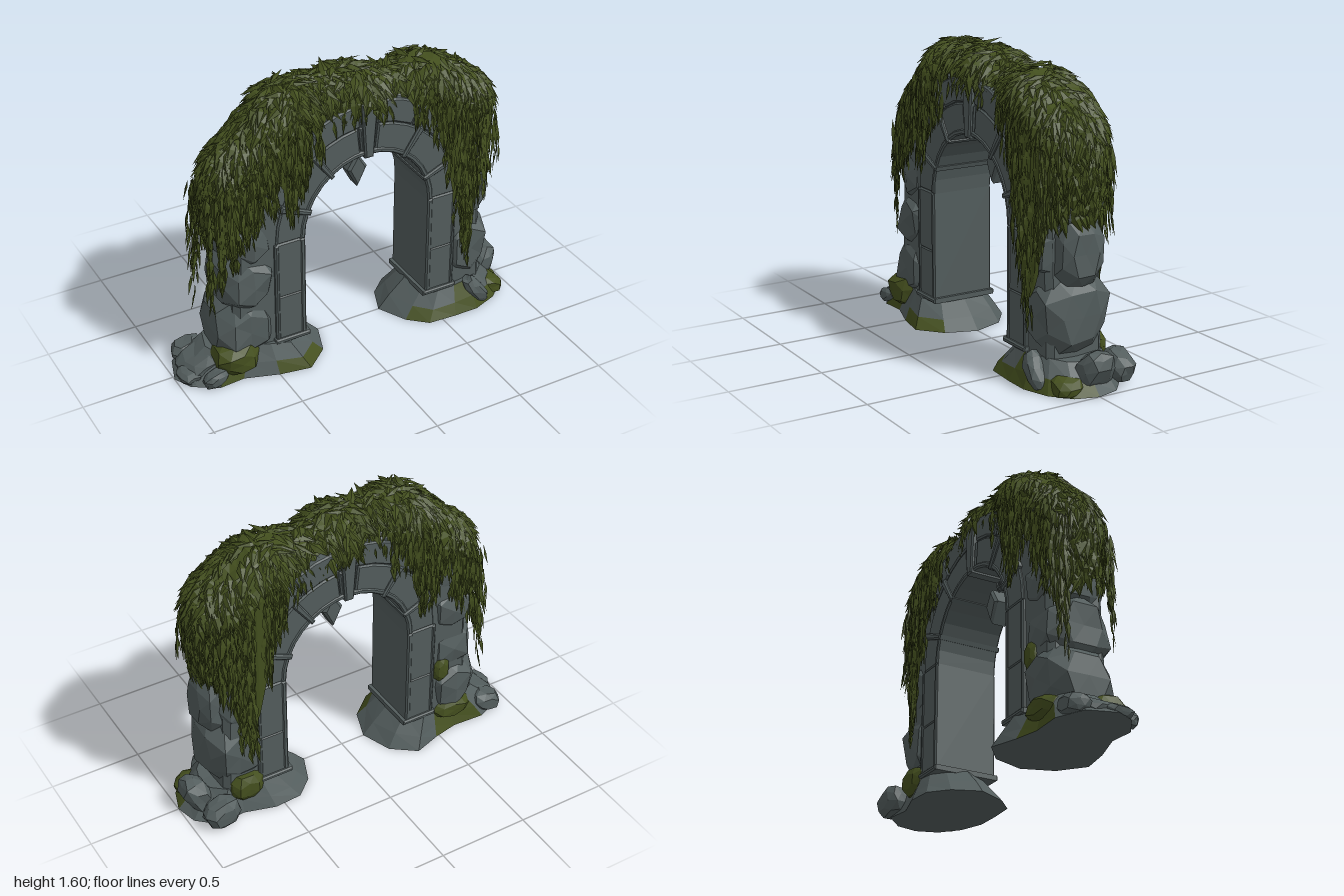
import * as THREE from 'three';
import { mergeGeometries } from 'three/addons/utils/BufferGeometryUtils.js';

const stone = new THREE.MeshStandardMaterial({ color: 0x535d5d });
const moss = new THREE.MeshStandardMaterial({ color: 0x444f1e });
const foliage = new THREE.MeshStandardMaterial({ color: 0x434f1e, side: THREE.DoubleSide });
stone.name = 'stone'; moss.name = 'moss'; foliage.name = 'foliage';

const CX = 0.065, SPRING = 0.75, RX = 0.365, RY = 0.385;
const rad = THREE.MathUtils.degToRad;
const V = (x, y, z) => new THREE.Vector3(x, y, z);

let seed = 7;
const rnd = () => {
  seed = (seed * 16807) % 2147483647;
  return seed / 2147483647;
};
const spread = (s) => (rnd() - 0.5) * 2 * s;

// piecewise-linear lookup in a list of [x, value]
function lookup(table, x) {
  if (x <= table[0][0]) return table[0][1];
  for (let i = 1; i < table.length; i++) {
    const [x0, v0] = table[i - 1], [x1, v1] = table[i];
    if (x <= x1) return v0 + (v1 - v0) * (x - x0) / (x1 - x0);
  }
  return table[table.length - 1][1];
}

function flat(geo) {
  const g = geo.index ? geo.toNonIndexed() : geo;
  g.computeVertexNormals();
  return g;
}

function add(group, name, geo, mat = stone) {
  const m = new THREE.Mesh(geo, mat);
  m.name = name;
  group.add(m);
}

// chunky faceted rock: rounded box with a hashed offset for each corner
function rock(group, name, [x, y, z], [rx, ry, rz], tilt = 0, mat = stone) {
  const g = new THREE.IcosahedronGeometry(1, 1), p = g.attributes.position, v = V(0, 0, 0);
  const key = x * 17 + y * 31 + z * 13;
  for (let i = 0; i < p.count; i++) {
    v.fromBufferAttribute(p, i).normalize();
    const h = Math.sin(Math.round(v.x * 50) * 12.9 + Math.round(v.y * 50) * 78.2 + Math.round(v.z * 50) * 37.7 + key) * 437.5;
    const s = Math.pow(v.x ** 4 + v.y ** 4 + v.z ** 4, -0.25) * (0.86 + 0.16 * (h - Math.floor(h)));
    p.setXYZ(i, v.x * s * rx, v.y * s * ry, v.z * s * rz);
  }
  g.rotateZ(tilt);
  g.translate(x, y, z);
  for (let i = 0; i < p.count; i++) p.setY(i, Math.max(0.002, p.getY(i)));
  add(group, name, flat(g), mat);
}

const arcPoint = (deg, o) => new THREE.Vector2(CX + (RX + o) * Math.cos(rad(deg)), SPRING + (RY + o) * Math.sin(rad(deg)));

function slab(points, zh, bevel = 0.008) {
  const g = new THREE.ExtrudeGeometry(new THREE.Shape(points), {
    depth: 2 * (zh - bevel), bevelEnabled: true, bevelSize: bevel, bevelThickness: bevel, bevelOffset: -bevel, bevelSegments: 1,
  });
  return g.translate(0, 0, -(zh - bevel));
}

// arch stone between two angles and two offsets from the opening
function wedge(group, name, a0, a1, o0, o1, zh) {
  const n = Math.max(1, Math.round((a1 - a0) / 11)), pts = [];
  for (let i = 0; i <= n; i++) pts.push(arcPoint(a0 + (a1 - a0) * i / n, o1));
  for (let i = n; i >= 0; i--) pts.push(arcPoint(a0 + (a1 - a0) * i / n, o0));
  add(group, name, slab(pts, zh));
}

function box(group, name, x0, x1, y0, y1, zh) {
  add(group, name, slab([[x0, y0], [x1, y0], [x1, y1], [x0, y1]].map((p) => new THREE.Vector2(...p)), zh));
}

// sloping foot built from rings; listed sides are moss
function mound(group, name, outline, cx, mossy) {
  const ring = (s, y) => outline.map(([x, z], i) => V(cx + (x - cx) * s, y + (y > 0 ? 0.01 * Math.sin(i * 5) : 0), z * (s + 0.25 * (1 - s))));
  const rings = [ring(1, 0), ring(0.84, 0.065), ring(0.61, 0.15)];
  const faces = { stone: [], moss: [] }, n = outline.length;
  for (let i = 0; i < n; i++) {
    const j = (i + 1) % n;
    for (let k = 0; k < 2; k++) {
      const list = mossy[k].includes(i) ? faces.moss : faces.stone;
      const [a, b, c, d] = [rings[k][i], rings[k + 1][i], rings[k + 1][j], rings[k][j]];
      list.push(a, b, c, a, c, d);
    }
    faces.stone.push(V(cx, 0.16, 0), rings[2][j], rings[2][i], V(cx, 0, 0), rings[0][i], rings[0][j]);
  }
  add(group, name + 'Stone', flat(new THREE.BufferGeometry().setFromPoints(faces.stone)));
  add(group, name + 'Moss', flat(new THREE.BufferGeometry().setFromPoints(faces.moss)), moss);
}

// canopy spine, its half width, and the lower edge of the hanging strands
const crest = [[-0.76, 0.8], [-0.78, 1.0], [-0.755, 1.2], [-0.6, 1.36], [-0.4, 1.53], [-0.28, 1.56], [-0.12, 1.55], [0.05, 1.56],
  [0.25, 1.5], [0.48, 1.52], [0.7, 1.42], [0.835, 1.3], [0.875, 1.1], [0.855, 0.9]];
const spine = new THREE.CatmullRomCurve3(crest.map(([x, y]) => V(x, y, 0)));
const width = [[-0.82, 0.1], [-0.7, 0.15], [-0.5, 0.175], [-0.35, 0.19], [-0.15, 0.125], [-0.02, 0.14], [0.08, 0.19], [0.2, 0.14],
  [0.3, 0.13], [0.42, 0.175], [0.6, 0.205], [0.78, 0.17], [0.9, 0.12]];
const low = [[-0.84, 0.4], [-0.79, 0.28], [-0.75, 0.62], [-0.6, 0.8], [-0.5, 0.95], [-0.38, 0.82], [-0.33, 1.0], [-0.27, 1.15],
  [-0.2, 1.14], [-0.12, 1.28], [0, 1.33], [0.1, 1.36], [0.18, 1.26], [0.25, 1.33], [0.34, 1.22], [0.4, 1.2], [0.47, 1.02],
  [0.52, 0.92], [0.57, 0.65], [0.62, 0.42], [0.68, 0.27], [0.72, 0.5], [0.77, 0.72], [0.83, 0.83], [0.91, 0.86]];
const DEPTH = 0.13;

function canopyPoint(t, a, grow) {
  const c = spine.getPoint(t), tan = spine.getTangent(t), n = V(-tan.y, tan.x, 0);
  const p = c.addScaledVector(n, -DEPTH + (DEPTH + grow) * Math.cos(a));
  p.z = (lookup(width, c.x) + grow) * Math.sin(a);
  return { p, out: n.multiplyScalar(Math.cos(a)).setZ(Math.sin(a)).normalize() };
}

// half tube along the spine with a ragged hem on both sides
function canopyCore() {
  const rows = 70, cols = 13, pts = [], idx = [];
  const hem = (p) => V(p.x, Math.min(p.y, lookup(low, p.x) + 0.1 + 0.12 * rnd()), p.z);
  for (let i = 0; i <= rows; i++) {
    const row = [];
    for (let k = 0; k <= 10; k++) row.push(canopyPoint(i / rows, rad(-90 + 18 * k), spread(0.014)).p);
    pts.push(hem(row[0]), ...row, hem(row[10]));
  }
  for (let i = 0; i < rows; i++) for (let k = 0; k < cols - 1; k++) {
    const a = i * cols + k, b = a + cols;
    idx.push(a, a + 1, b, b, a + 1, b + 1);
  }
  const g = new THREE.BufferGeometry().setFromPoints(pts);
  g.setIndex(idx);
  return flat(g);
}

// pointed leaf with a raised middle
function blade(list, p, dir, out, w, len, flare) {
  const side = dir.clone().cross(out).normalize();
  const at = (s) => p.clone().addScaledVector(dir, len * 0.4).addScaledVector(side, s * w);
  const l = at(1), r = at(-1), mid = at(0).addScaledVector(out, w * 0.6);
  const tip = p.clone().addScaledVector(dir, len).addScaledVector(out, flare);
  list.push(p, l, mid, p, mid, r, l, tip, mid, mid, tip, r);
}

function leaves() {
  const list = [];
  for (let i = 0; i < 1500; i++) {
    const { p, out } = canopyPoint(rnd(), rad(spread(84)), 0.004 + 0.01 * rnd());
    const dir = V(spread(0.5), -1, spread(0.5));
    dir.addScaledVector(out, -dir.dot(out)).normalize();
    blade(list, p, dir, out, 0.014 + 0.014 * rnd(), 0.08 + 0.08 * rnd(), 0.006 * rnd() - 0.004);
  }
  // hanging strands on both faces
  for (const s of [1, -1]) for (let i = 0; i < 180; i++) {
    const x = -0.81 + 1.69 * rnd(), end = lookup(low, x) + 0.28 * rnd() ** 2;
    const roof = lookup(crest.slice(2, 13), x) - 0.1, edge = Math.abs(x) > 0.72;
    const z = edge ? lookup(width, x) + 0.02 : Math.max(0.17, lookup(width, x)) + 0.025 * rnd();
    for (let y = roof; y > end + 0.05; y -= 0.065) {
      const thin = 0.55 + 0.45 * Math.min(1, (y - end) / 0.3);
      const out = V(spread(0.5) + (edge ? Math.sign(x) : 0), 0, s).normalize();
      const tuck = Math.max(0, 0.06 - (roof - y)) * 0.5;
      const p = V(x + spread(0.014), y, s * (z - tuck + spread(0.008)));
      blade(list, p, V(spread(0.15), -1, spread(0.08)).normalize(), out, (0.011 + 0.012 * rnd()) * thin,
        Math.min(y - end + 0.02, 0.12 + 0.06 * rnd()), 0.015 * rnd());
    }
  }
  return flat(new THREE.BufferGeometry().setFromPoints(list));
}

export function createModel() {
  seed = 7;
  const g = new THREE.Group();
  g.name = 'overgrownArch';

  // rough wall behind the dressed stones
  const wall = [[-0.38, 0.1], [-0.72, 0.1], [-0.69, 0.6], [-0.68, 1.12], [-0.5, 1.31], [-0.3, 1.44], [0.3, 1.41], [0.6, 1.38], [0.75, 1.2],
    [0.8, 0.1], [0.5, 0.1]].map((p) => new THREE.Vector2(...p));
  for (let a = 0; a <= 180; a += 15) wall.push(arcPoint(a, 0.08));
  add(g, 'wallCore', slab(wall, 0.16, 0.03));

  // arch ring, ribs, keystone and upper blocks
  const ribs = [0, 22, 55, 84, 96, 125, 158, 180];
  for (let i = 0; i < ribs.length - 1; i++) wedge(g, 'archStone', ribs[i] + 0.4, ribs[i + 1] - 0.4, 0.005, 0.165, 0.172);
  for (const a of [22, 55, 125, 158]) wedge(g, 'archRib', a - 2, a + 2, -0.008, 0.178, 0.187);
  wedge(g, 'archTrim', 0, 180, 0, 0.03, 0.178);
  wedge(g, 'keystone', 86, 94, -0.012, 0.3, 0.19);
  for (const [a, b] of [[38, 61], [62, 85], [95, 118], [119, 142]]) wedge(g, 'upperBlock', a, b, 0.17, 0.3, 0.175);

  // jambs with edge trims and plinths
  for (const s of [1, -1]) {
    const span = (o0, o1) => [CX + s * (RX + o0), CX + s * (RX + o1)].sort((a, b) => a - b);
    box(g, 'jambLower', ...span(0.005, 0.165), 0.15, 0.43, 0.174);
    box(g, 'jambUpper', ...span(0.008, 0.163), 0.425, SPRING + 0.005, 0.174);
    box(g, 'jambInnerTrim', ...span(0, 0.03), 0.16, SPRING, 0.179);
    box(g, 'jambOuterTrim', ...span(0.15, 0.175), 0.16, SPRING, 0.179);
    box(g, 'plinth', ...span(-0.018, 0.185), 0.142, 0.17, 0.19);
  }

  // stacked pillar boulders
  [[[-0.62, 0.26, 0], [0.17, 0.2, 0.2]], [[-0.6, 0.54, 0.01], [0.155, 0.18, 0.19]], [[-0.59, 0.8, 0], [0.15, 0.17, 0.185]],
    [[-0.59, 1.02, 0], [0.15, 0.17, 0.18]], [[-0.49, 1.18, 0], [0.15, 0.13, 0.175]], [[0.71, 0.36, 0], [0.155, 0.22, 0.2]],
    [[0.78, 0.68, 0], [0.1, 0.18, 0.13]], [[0.67, 0.67, 0], [0.14, 0.18, 0.185]], [[0.7, 0.95, 0], [0.15, 0.17, 0.18]],
    [[0.62, 1.17, 0], [0.16, 0.14, 0.18]]].forEach(([p, r]) => rock(g, 'pillarBoulder', p, r));

  // feet
  const left = [[-0.14, 0], [-0.2, 0.17], [-0.33, 0.28], [-0.5, 0.25], [-0.68, 0.19], [-0.82, 0.2], [-0.95, 0.12], [-1, 0.02],
    [-0.95, -0.13], [-0.8, -0.2], [-0.62, -0.19], [-0.48, -0.22], [-0.33, -0.27], [-0.2, -0.17]];
  const right = [[0.24, 0], [0.32, 0.16], [0.42, 0.25], [0.58, 0.26], [0.72, 0.26], [0.86, 0.21], [0.96, 0.12], [1, 0],
    [0.97, -0.12], [0.86, -0.22], [0.72, -0.2], [0.55, -0.25], [0.4, -0.24], [0.3, -0.15]].reverse();
  mound(g, 'rightFoot', left, -0.53, [[1, 2, 4, 9, 10], [4, 9, 10]]);
  mound(g, 'leftFoot', right, 0.66, [[6, 7, 8, 9, 10, 11], [9]]);

  // loose rocks and moss cushions around the feet
  [[[0.9, 0.09, -0.03], [0.07, 0.13, 0.1], -0.5], [[0.85, 0.08, -0.21], [0.1, 0.08, 0.07], -0.3], [[0.74, 0.09, 0.2], [0.045, 0.11, 0.055], 0.6],
    [[-0.85, 0.06, 0], [0.12, 0.05, 0.13], 0.4], [[-0.86, 0.05, -0.13], [0.09, 0.06, 0.07], 0.3], [[-0.83, 0.05, 0.17], [0.07, 0.04, 0.05], 0.3],
    [[-0.93, 0.03, 0.05], [0.06, 0.035, 0.08], 0.2]].forEach(([p, r, t]) => rock(g, 'looseRock', p, r, t));
  [[[-0.69, 0.11, 0.11], [0.13, 0.09, 0.11], -0.15], [[-0.61, 0.12, -0.11], [0.13, 0.07, 0.1], 0.1], [[0.87, 0.04, 0.11], [0.09, 0.05, 0.08], -0.3],
    [[0.68, 0.15, -0.15], [0.1, 0.08, 0.07], 0], [[-0.53, 0.42, -0.15], [0.05, 0.08, 0.04], 0]].forEach(([p, r, t]) => rock(g, 'mossCushion', p, r, t, moss));

  // hanging pendant
  const rhomb = [[0, 0.87], [0.058, 0.98], [0, 1.07], [-0.058, 0.98]].map(([x, y]) => new THREE.Vector2(x + 0.077, y));
  add(g, 'pendant', slab(rhomb, 0.05, 0.014));
  const links = [1.075, 1.1, 1.125].map((y, i) => new THREE.TorusGeometry(0.013, 0.005, 5, 8).rotateY(i % 2 * Math.PI / 2).translate(0.077, y, 0));
  add(g, 'pendantChain', mergeGeometries(links));

  // foliage
  add(g, 'canopy', canopyCore(), foliage);
  add(g, 'hangingLeaves', leaves(), foliage);
  return g;
}
